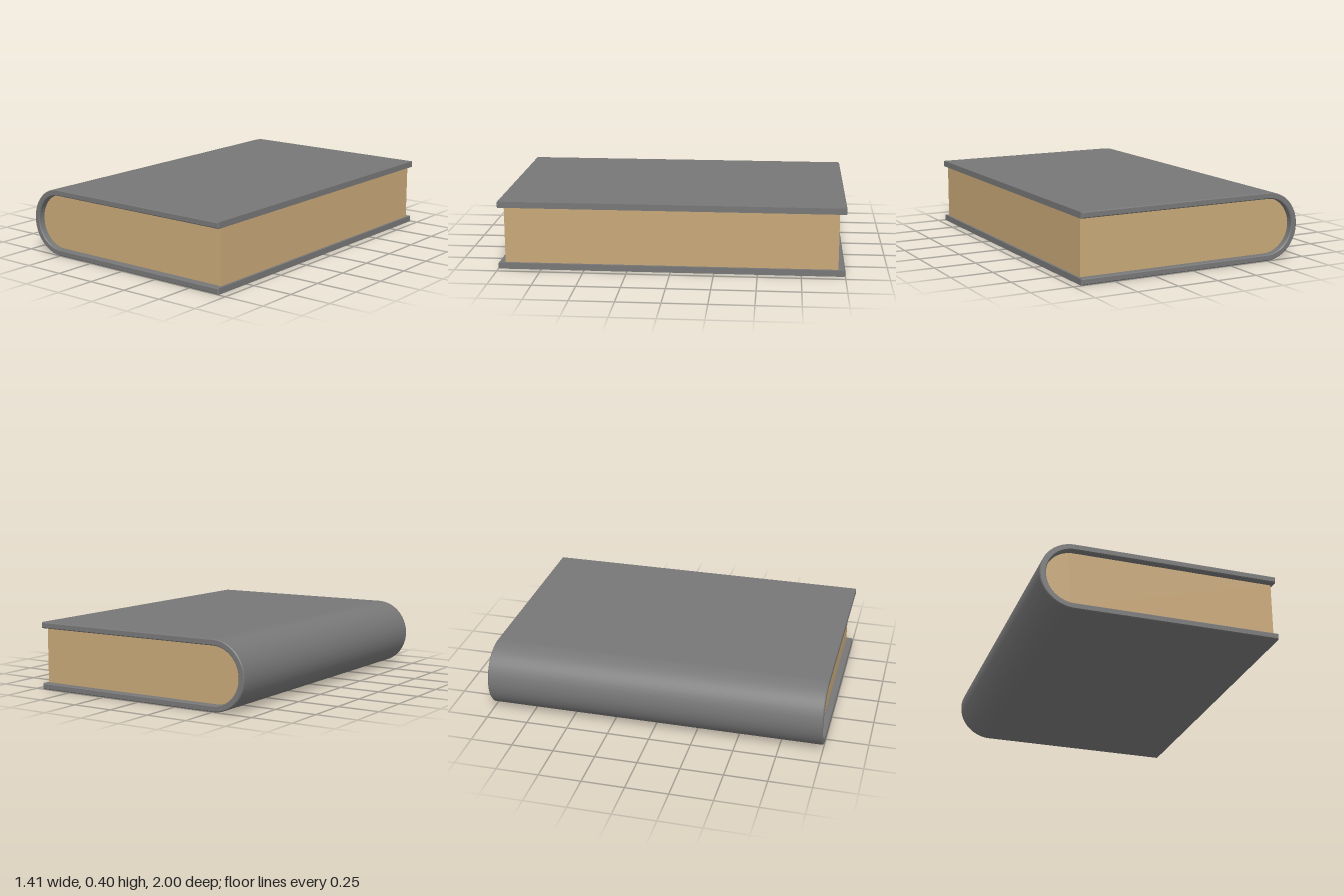
import * as THREE from 'three';

const MID_Y = 0.2;      // spine axis height
const SPINE_X = -0.503; // where the round spine begins
const TOP = Math.PI / 2;
const BOTTOM = Math.PI * 1.5;

// Extrude a profile along z, centred on z = 0
function extrudeCentred(shape, length, bevel) {
  const geometry = new THREE.ExtrudeGeometry(shape, {
    depth: length - 2 * bevel,
    curveSegments: 24,
    bevelEnabled: bevel > 0,
    bevelSegments: 1,
    bevelThickness: bevel,
    bevelSize: bevel,
    bevelOffset: -bevel,
  });
  geometry.translate(0, 0, -length / 2 + bevel);
  return geometry;
}

// U-shaped shell: both boards and the rounded spine
function coverShape(outer, inner, edgeX) {
  const s = new THREE.Shape();
  s.moveTo(edgeX, MID_Y + outer);
  s.lineTo(SPINE_X, MID_Y + outer);
  s.absarc(SPINE_X, MID_Y, outer, TOP, BOTTOM, false);
  s.lineTo(edgeX, MID_Y - outer);
  s.lineTo(edgeX, MID_Y - inner);
  s.lineTo(SPINE_X, MID_Y - inner);
  s.absarc(SPINE_X, MID_Y, inner, BOTTOM, TOP, true);
  s.lineTo(edgeX, MID_Y + inner);
  s.closePath();
  return s;
}

// Page block with one rounded side
function pagesShape(radius, edgeX) {
  const s = new THREE.Shape();
  s.moveTo(edgeX, MID_Y + radius);
  s.lineTo(SPINE_X, MID_Y + radius);
  s.absarc(SPINE_X, MID_Y, radius, TOP, BOTTOM, false);
  s.lineTo(edgeX, MID_Y - radius);
  s.closePath();
  return s;
}

export function createModel() {
  const coverGrey = new THREE.MeshStandardMaterial({ color: 0x777777 });
  coverGrey.name = 'cover grey';
  const paperTan = new THREE.MeshStandardMaterial({ color: 0xc8a878 });
  paperTan.name = 'paper tan';

  const book = new THREE.Group();
  book.name = 'book';

  const cover = new THREE.Mesh(extrudeCentred(coverShape(0.2, 0.164, 0.703), 2, 0.005), coverGrey);
  cover.name = 'cover';

  const pages = new THREE.Mesh(extrudeCentred(pagesShape(0.163, 0.69), 1.92, 0), paperTan);
  pages.name = 'pages';

  book.add(cover, pages);
  return book;
}
